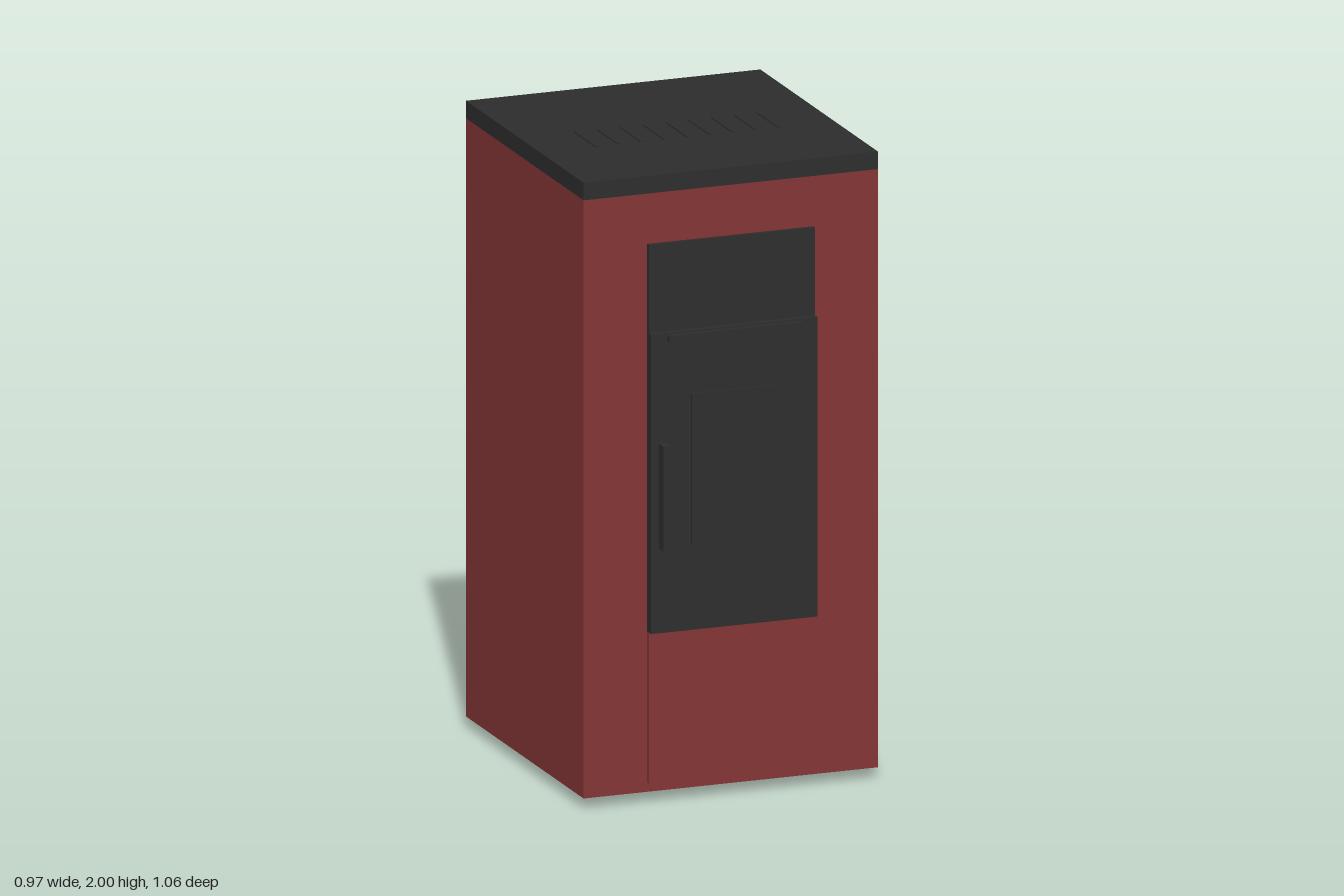
import * as THREE from 'three';

export function createModel() {
  const stove = new THREE.Group();
  stove.name = 'pelletStove';

  const red = new THREE.MeshStandardMaterial({ color: 0x853535 });
  red.name = 'red enamel';
  const dark = new THREE.MeshStandardMaterial({ color: 0x2d2d2d });
  dark.name = 'dark metal';

  // Box given by its lower and upper bounds on each axis
  function box(name, material, [x0, x1], [y0, y1], [z0, z1]) {
    const mesh = new THREE.Mesh(new THREE.BoxGeometry(x1 - x0, y1 - y0, z1 - z0), material);
    mesh.position.set((x0 + x1) / 2, (y0 + y1) / 2, (z0 + z1) / 2);
    mesh.name = name;
    stove.add(mesh);
  }

  // Cabinet and top plate
  const width = [-0.484, 0.484], depth = [-0.53, 0.461];
  box('cabinet', red, width, [0.035, 1.94], depth);
  box('topPlate', dark, width, [1.94, 1.996], depth);

  // Row of raised vent slats on the top
  for (let i = -4; i <= 4; i++) {
    const x = i * 0.075;
    box('ventSlat', dark, [x - 0.006, x + 0.006], [1.99, 2.0], [-0.075, 0.1]);
  }

  // Front panels, stacked
  const panel = [-0.275, 0.272];
  box('lowerPanel', red, panel, [0.065, 0.546], [0.45, 0.477]);
  box('upperPanel', dark, panel, [1.5, 1.78], [0.45, 0.475]);
  box('door', dark, panel, [0.546, 1.5], [0.45, 0.495]);

  // Door fittings
  box('doorLedge', dark, [-0.222, 0.22], [1.473, 1.494], [0.49, 0.512]);
  box('doorWindow', dark, [-0.145, 0.138], [0.82, 1.3], [0.49, 0.504]);
  box('doorHandle', dark, [-0.249, -0.222], [0.815, 1.15], [0.49, 0.531]);

  // Feet: upright pads with rounded corners
  const w = 0.0375, d = 0.08, r = 0.022;
  const pad = new THREE.Shape();
  pad.moveTo(-w + r, -d);
  pad.absarc(w - r, -d + r, r, -Math.PI / 2, 0);
  pad.absarc(w - r, d - r, r, 0, Math.PI / 2);
  pad.absarc(-w + r, d - r, r, Math.PI / 2, Math.PI);
  pad.absarc(-w + r, -d + r, r, Math.PI, Math.PI * 1.5);
  const footGeometry = new THREE.ExtrudeGeometry(pad, { depth: 0.04, bevelEnabled: false, curveSegments: 6 });
  footGeometry.rotateX(-Math.PI / 2);
  for (const x of [-0.35, 0.348]) {
    const foot = new THREE.Mesh(footGeometry, dark);
    foot.position.set(x, 0, -0.033);
    foot.name = 'foot';
    stove.add(foot);
  }

  return stove;
}
